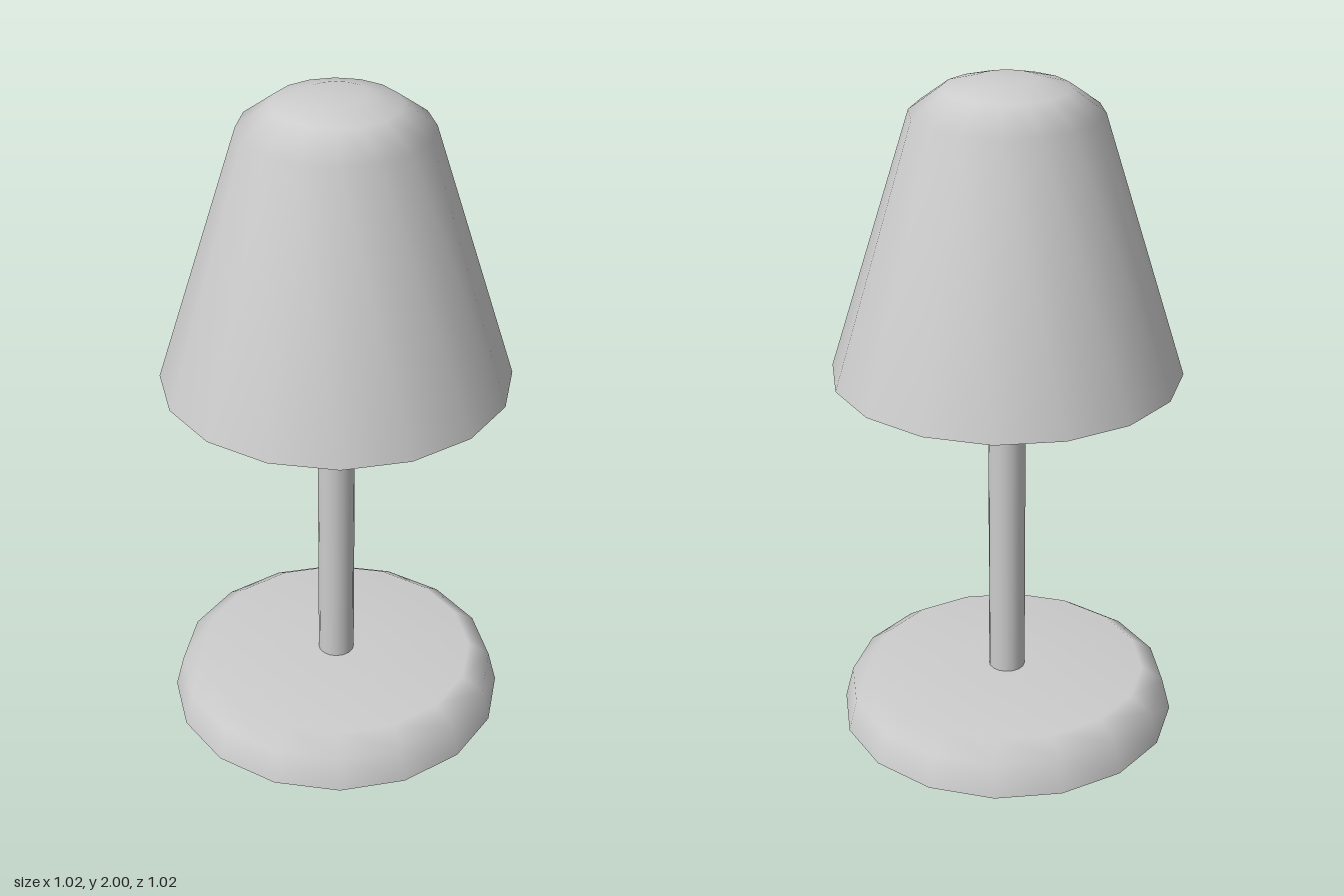
import * as THREE from 'three';

const SIDES = 16;

export function createModel() {
  const lamp = new THREE.Group();
  lamp.name = 'tableLamp';
  const grey = new THREE.MeshStandardMaterial({ color: 0xcccccc, side: THREE.DoubleSide });
  grey.name = 'light grey';

  const add = (name, geometry, y = 0) => {
    const mesh = new THREE.Mesh(geometry, grey);
    mesh.name = name;
    mesh.position.y = y;
    lamp.add(mesh);
  };
  // Smooth turned surface from [radius, height] pairs, listed bottom to top
  const turned = (profile) =>
    new THREE.LatheGeometry(profile.map(([r, y]) => new THREE.Vector2(r, y)), SIDES);

  // Hollow base, open below, with a hole for the pole
  add('base', turned([[0.51, 0], [0.485, 0.1], [0.42, 0.145], [0.05, 0.145]]));

  // Hollow pole
  const poleBottom = 0.145, poleTop = 1.14;
  add('pole',
    new THREE.CylinderGeometry(0.055, 0.055, poleTop - poleBottom, SIDES, 1, true),
    (poleBottom + poleTop) / 2);

  // Tapered shade with a rounded crown
  add('shade', turned([[0.51, 1.14], [0.272, 1.908], [0.18, 1.975], [0.09, 2], [0, 2]]));

  // Flat underside of the shade, with corners on the same axes as the shade
  const underside = new THREE.CircleGeometry(0.51, SIDES);
  underside.rotateX(Math.PI / 2);
  add('shadeUnderside', underside, 1.14);

  return lamp;
}
